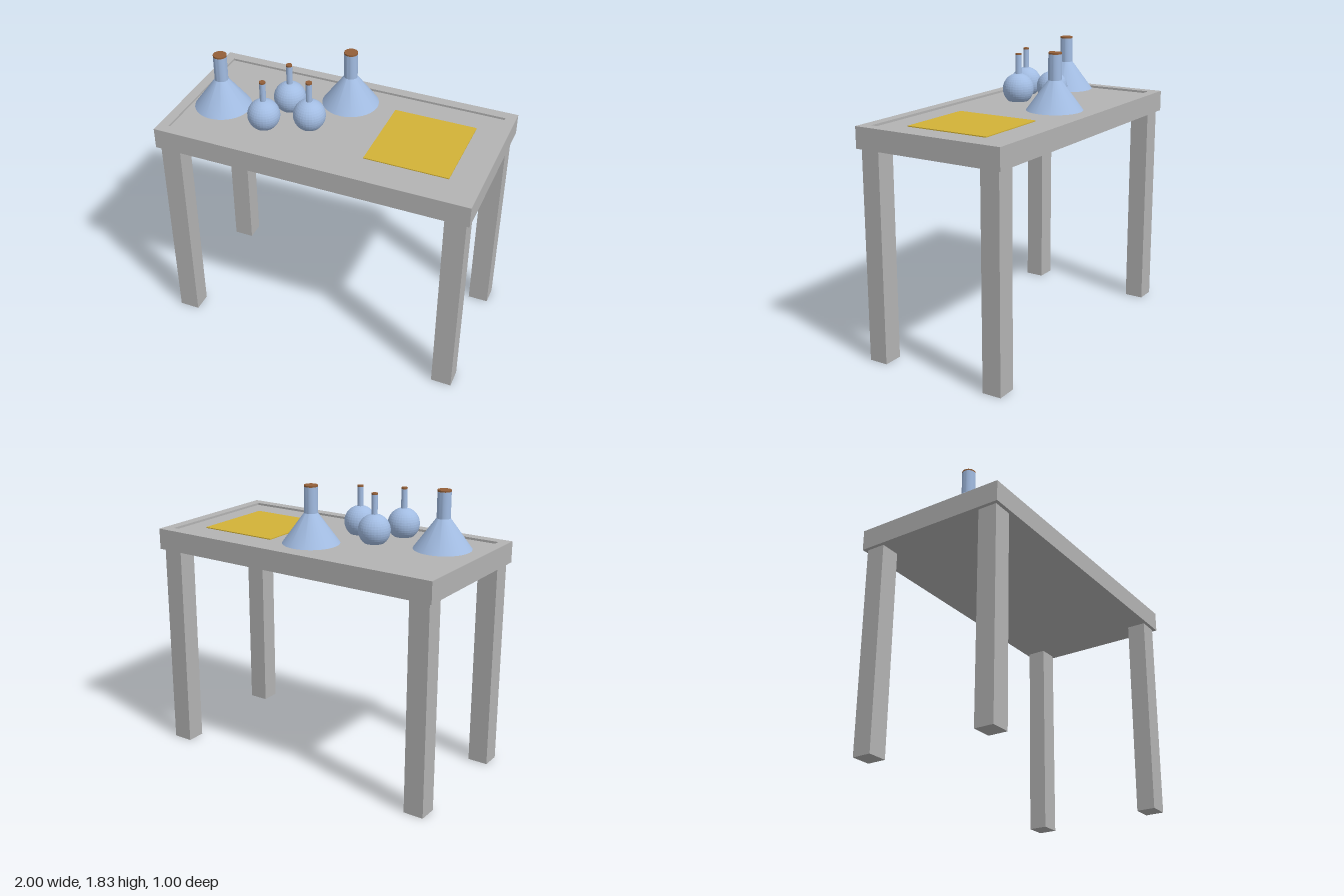
import * as THREE from 'three';
import { toCreasedNormals } from 'three/addons/utils/BufferGeometryUtils.js';

const mat = (name, color) => {
  const m = new THREE.MeshStandardMaterial({ color });
  m.name = name;
  return m;
};

export function createModel() {
  const stone = mat('grey stone', 0xb3b3b3);
  const glass = mat('blue glass', 0xa2bce2);
  const cork = mat('brown cork', 0x935f38);
  const paper = mat('yellow parchment', 0xd2b237);

  const model = new THREE.Group();
  model.name = 'alchemyTable';
  const add = (parent, name, geo, material, x, y, z) => {
    const mesh = new THREE.Mesh(geo, material);
    mesh.name = name;
    mesh.position.set(x, y, z);
    parent.add(mesh);
    return mesh;
  };

  // Table: slab, raised rim around a shallow recess, four square legs
  const base = 1.335, floor = 1.455, top = 1.469, rim = 0.065;
  add(model, 'tableSlab', new THREE.BoxGeometry(2, floor - base, 1), stone, 0, (base + floor) / 2, 0);

  const rectangle = (path, w, d) => path.moveTo(-w, -d).lineTo(w, -d).lineTo(w, d).lineTo(-w, d).closePath();
  const frame = rectangle(new THREE.Shape(), 1, 0.5);
  frame.holes.push(rectangle(new THREE.Path(), 1 - rim, 0.5 - rim));
  const rimGeo = new THREE.ExtrudeGeometry(frame, { depth: top - floor, bevelEnabled: false });
  rimGeo.rotateX(-Math.PI / 2);
  add(model, 'tableRim', rimGeo, stone, 0, floor, 0);

  const legGeo = new THREE.BoxGeometry(0.13, base, 0.123);
  for (const sx of [-1, 1]) for (const sz of [-1, 1])
    add(model, 'leg', legGeo, stone, sx * 0.912, base / 2, sz * 0.416);

  // Sheet lying in the recess
  add(model, 'sheet', new THREE.BoxGeometry(0.525, 0.006, 0.55), paper, 0.538, floor + 0.003, 0);

  // Flasks are turned profiles with a flat bottom and a thin stopper
  const lathe = (pts) => new THREE.LatheGeometry(pts.map(([r, y]) => new THREE.Vector2(r, y)), 32);
  const flask = (name, geo, x, z, neck, height) => {
    const g = new THREE.Group();
    g.name = name;
    g.position.set(x, 0, z);
    add(g, 'body', geo, glass, 0, 0, 0);
    add(g, 'stopper', new THREE.CylinderGeometry(neck, neck, 0.01, 32), cork, 0, height - 0.005, 0);
    model.add(g);
  };

  // Conical flasks
  const coneGeo = toCreasedNormals(
    lathe([[0, 1.474], [0.178, 1.474], [0.042, 1.66], [0.042, 1.82]]), 0.5);
  flask('conicalFlask', coneGeo, -0.734, 0.097, 0.042, 1.83);
  flask('conicalFlask', coneGeo, -0.011, -0.237, 0.042, 1.83);

  // Round flasks, faceted ball cut flat at the bottom
  const ball = [[0, 1.478], [0.064, 1.478]];
  const centre = 1.555, radius = 0.1;
  const a0 = -Math.asin(0.77), a1 = Math.acos(0.19);
  for (let i = 1; i <= 14; i++) {
    const a = a0 + (a1 - a0) * i / 14;
    ball.push([radius * Math.cos(a), centre + radius * Math.sin(a)]);
  }
  ball.push([0.019, 1.773]);
  const ballGeo = lathe(ball).toNonIndexed();
  ballGeo.computeVertexNormals();
  for (const [x, z] of [[-0.331, -0.028], [-0.139, 0.111], [-0.395, 0.212]])
    flask('roundFlask', ballGeo, x, z, 0.019, 1.783);

  return model;
}
